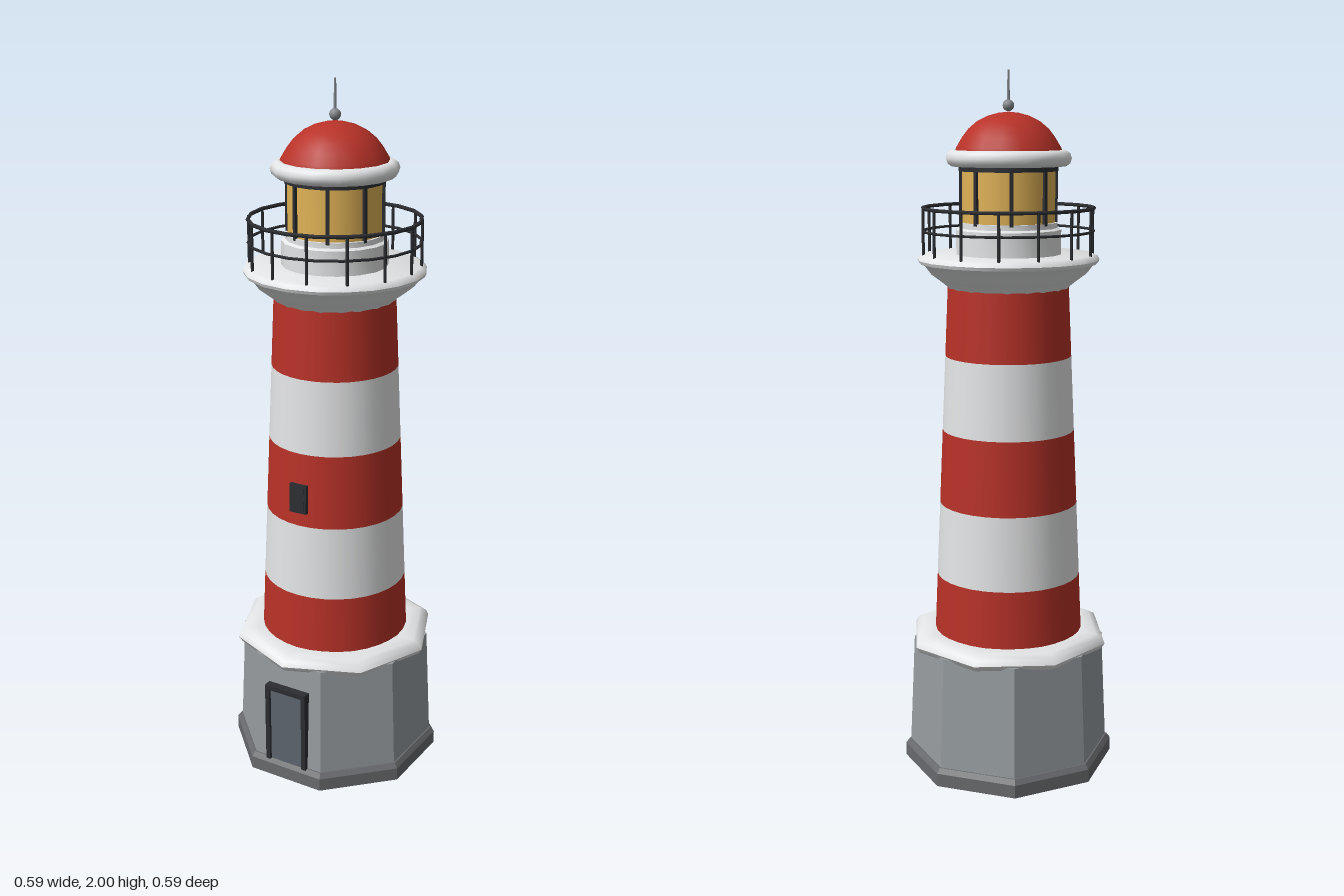
import * as THREE from 'three';
import { toCreasedNormals } from 'three/addons/utils/BufferGeometryUtils.js';

const mat = (name, color) => {
  const m = new THREE.MeshStandardMaterial({ color });
  m.name = name;
  return m;
};

export function createModel() {
  const red = mat('red paint', 0xb83228);
  const white = mat('white paint', 0xe4e5e6);
  const stone = mat('grey stone', 0x979c9f);
  const plinthGrey = mat('dark stone', 0x686a6d);
  const iron = mat('black iron', 0x2b2d31);
  const doorGrey = mat('door slate', 0x5d646e);
  const amber = mat('amber glass', 0xe0b256);
  const steel = mat('steel', 0x85898d);

  const model = new THREE.Group();
  model.name = 'lighthouse';

  const add = (name, geometry, material, x = 0, y = 0, z = 0, parent = model) => {
    const mesh = new THREE.Mesh(geometry, material);
    mesh.name = name;
    mesh.position.set(x, y, z);
    parent.add(mesh);
    return mesh;
  };
  // Turned part: profile runs from the bottom to the top as [radius, y]
  const turned = (name, profile, sides, material, crease = 0.7, spin = 0) => {
    const points = profile.map(([r, y]) => new THREE.Vector2(r, y));
    const geometry = new THREE.LatheGeometry(points, sides).rotateY(spin);
    return add(name, toCreasedNormals(geometry, crease), material);
  };
  const group = (name) => {
    const g = new THREE.Group();
    g.name = name;
    model.add(g);
    return g;
  };

  // Octagonal base with flat faces to the front and sides
  const oct = 1 / Math.cos(Math.PI / 8);
  const eighth = Math.PI / 8;
  turned('plinth', [[0, 0], [0.284 * oct, 0], [0.284 * oct, 0.038], [0.274 * oct, 0.052], [0, 0.052]],
    8, plinthGrey, 0.1, eighth);
  turned('baseWall', [[0.27 * oct, 0.05], [0.256 * oct, 0.375], [0, 0.375]], 8, stone, 0.1, eighth);

  // Rounded eight-sided cornice, turned so its corners sit over the wall faces
  turned('cornice', [[0.2, 0.36], [0.262, 0.358], [0.284, 0.365], [0.295, 0.381], [0.288, 0.396],
    [0.268, 0.407], [0.235, 0.409], [0.19, 0.407]], 8, white, 0.9);

  // Tapered tower in five equal bands
  const bandHeight = 0.2135;
  const towerRadius = (y) => 0.2165 - (y - 0.36) * 0.0437;
  for (let i = 0; i < 5; i++) {
    const y0 = 0.36 + i * bandHeight;
    const y1 = y0 + bandHeight;
    add('towerBand' + (i + 1),
      new THREE.CylinderGeometry(towerRadius(y1), towerRadius(y0), bandHeight, 32, 1, true),
      i % 2 ? white : red, 0, (y0 + y1) / 2, 0);
  }

  // Door with raised frame
  const door = group('door');
  add('doorPanel', new THREE.BoxGeometry(0.116, 0.24, 0.03), doorGrey, 0, 0.17, 0.26, door);
  for (const s of [-1, 1]) {
    add('doorJamb', new THREE.BoxGeometry(0.014, 0.248, 0.04), iron, s * 0.061, 0.174, 0.263, door);
  }
  add('doorLintel', new THREE.BoxGeometry(0.136, 0.014, 0.04), iron, 0, 0.291, 0.263, door);

  // Small tower window
  const tilt = -Math.atan(0.0437);
  const pane = group('towerWindow');
  pane.position.set(0, 0.87, towerRadius(0.87));
  pane.rotation.x = tilt;
  add('windowFrame', new THREE.BoxGeometry(0.054, 0.084, 0.018), iron, 0, 0, 0, pane);
  add('windowPane', new THREE.BoxGeometry(0.04, 0.07, 0.004), iron, 0, 0, 0.009, pane);

  // Flared gallery with rounded rim and floor
  turned('gallery', [[0.165, 1.4], [0.175, 1.412], [0.195, 1.428], [0.222, 1.448], [0.24, 1.472],
    [0.251, 1.476], [0.255, 1.485], [0.25, 1.495], [0.238, 1.5], [0, 1.5]], 20, white, 0.8);

  // Railing
  const railing = group('railing');
  const posts = 14;
  for (let i = 0; i < posts; i++) {
    const a = (i / posts) * Math.PI * 2;
    add('railPost', new THREE.CylinderGeometry(0.0042, 0.0042, 0.135, 6), iron,
      Math.cos(a) * 0.238, 1.562, Math.sin(a) * 0.238, railing);
  }
  for (const [y, r] of [[1.627, 0.0055], [1.564, 0.004]]) {
    add('rail', new THREE.TorusGeometry(0.238, r, 6, 20).rotateX(Math.PI / 2), iron, 0, y, 0, railing);
  }

  // Lantern room
  turned('lanternBase', [[0.148, 1.495], [0.148, 1.568], [0.138, 1.573], [0.138, 1.588], [0, 1.588]],
    16, white, 0.6, Math.PI / 16);
  add('lanternGlass', new THREE.CylinderGeometry(0.13, 0.13, 0.16, 24), amber, 0, 1.66, 0);
  const frame = group('lanternFrame');
  for (let i = 0; i < 8; i++) {
    const a = ((i + 0.5) / 8) * Math.PI * 2;
    const bar = add('lanternBar', new THREE.BoxGeometry(0.01, 0.155, 0.01), iron,
      Math.sin(a) * 0.132, 1.66, Math.cos(a) * 0.132, frame);
    bar.rotation.y = a;
  }
  add('lanternTopRing', new THREE.CylinderGeometry(0.139, 0.139, 0.012, 24), iron, 0, 1.734, 0, frame);

  // Roof: white eave ring around a closed red dome
  add('eaveRing', new THREE.TorusGeometry(0.153, 0.023, 10, 16).rotateX(Math.PI / 2).rotateY(Math.PI / 16),
    white, 0, 1.763, 0);
  turned('dome', [[0, 1.745], [0.15, 1.745], [0.152, 1.775], [0.146, 1.792], [0.129, 1.82],
    [0.112, 1.842], [0.088, 1.862], [0.058, 1.877], [0.028, 1.885], [0, 1.888]],
  16, red, 0.9, Math.PI / 16);

  // Finial
  add('finialBall', new THREE.SphereGeometry(0.016, 14, 10), steel, 0, 1.905, 0);
  add('finialSpike', new THREE.CylinderGeometry(0.003, 0.0045, 0.1, 8), steel, 0, 1.95, 0);

  return model;
}
